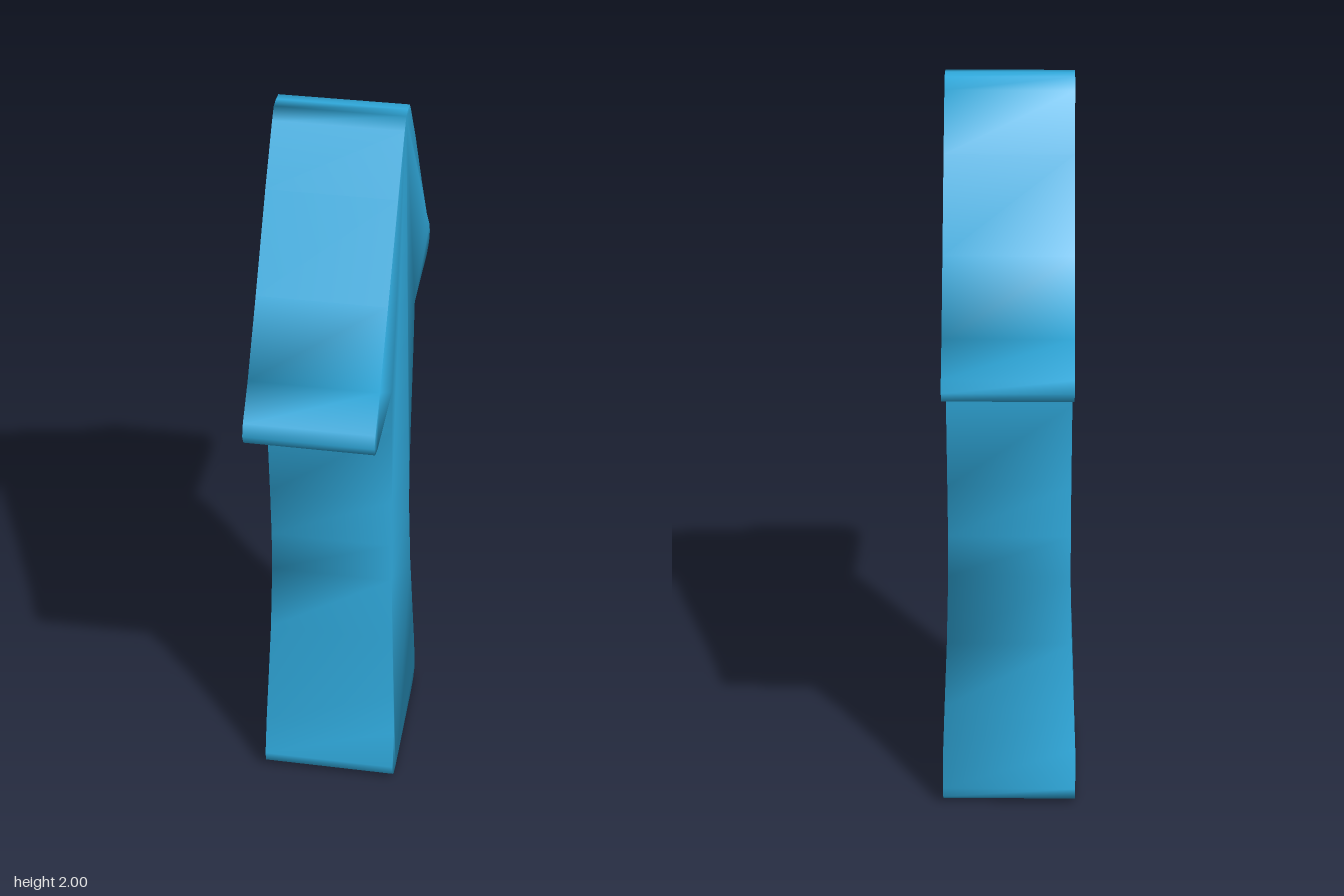
import * as THREE from 'three';
import { mergeVertices } from 'three/addons/utils/BufferGeometryUtils.js';

// Half outline of the arrow as [z, y], from beside the tip down to the base
const HALF = [
  [0.03, 1.997], [0.055, 1.97], [0.155, 1.84], [0.3, 1.63], [0.42, 1.465],
  [0.49, 1.388], [0.502, 1.358], [0.49, 1.332], [0.45, 1.32], [0.207, 1.32],
  [0.2, 1.19], [0.179, 0.95], [0.17, 0.8], [0.168, 0.68], [0.175, 0.48],
  [0.19, 0.29], [0.203, 0.165], [0.227, 0.055], [0.222, 0.025], [0.2, 0.006], [0.16, 0],
];

// Half thickness: even through the head and upper shaft, flaring to the base
function halfThickness(y) {
  const t = THREE.MathUtils.clamp((0.8 - y) / 0.8, 0, 1);
  return 0.16 + 0.02 * t * (2 - t) * Math.min(1, t * 1.3);
}

export function createModel() {
  const group = new THREE.Group();

  // Mirrored closed outline
  const mirrored = HALF.map(([z, y]) => [-z, y]).reverse();
  const outline = [[0, 2], ...HALF, ...mirrored].map(([z, y]) => new THREE.Vector2(z, y));

  // Slab across x, with thickness following height
  let geometry = new THREE.ExtrudeGeometry(new THREE.Shape(outline), { depth: 1, bevelEnabled: false });
  geometry.translate(0, 0, -0.5);
  geometry.rotateY(Math.PI / 2);
  const pos = geometry.attributes.position;
  for (let i = 0; i < pos.count; i++) {
    pos.setX(i, Math.sign(pos.getX(i)) * halfThickness(pos.getY(i)));
  }

  // Weld the corners so the shading flows smoothly over the rim
  geometry.deleteAttribute('normal');
  geometry.deleteAttribute('uv');
  geometry = mergeVertices(geometry, 1e-4);
  geometry.computeVertexNormals();

  const arrow = new THREE.Mesh(geometry, new THREE.MeshStandardMaterial({ color: 0x30aadd }));
  arrow.name = 'arrow';
  group.add(arrow);
  return group;
}
